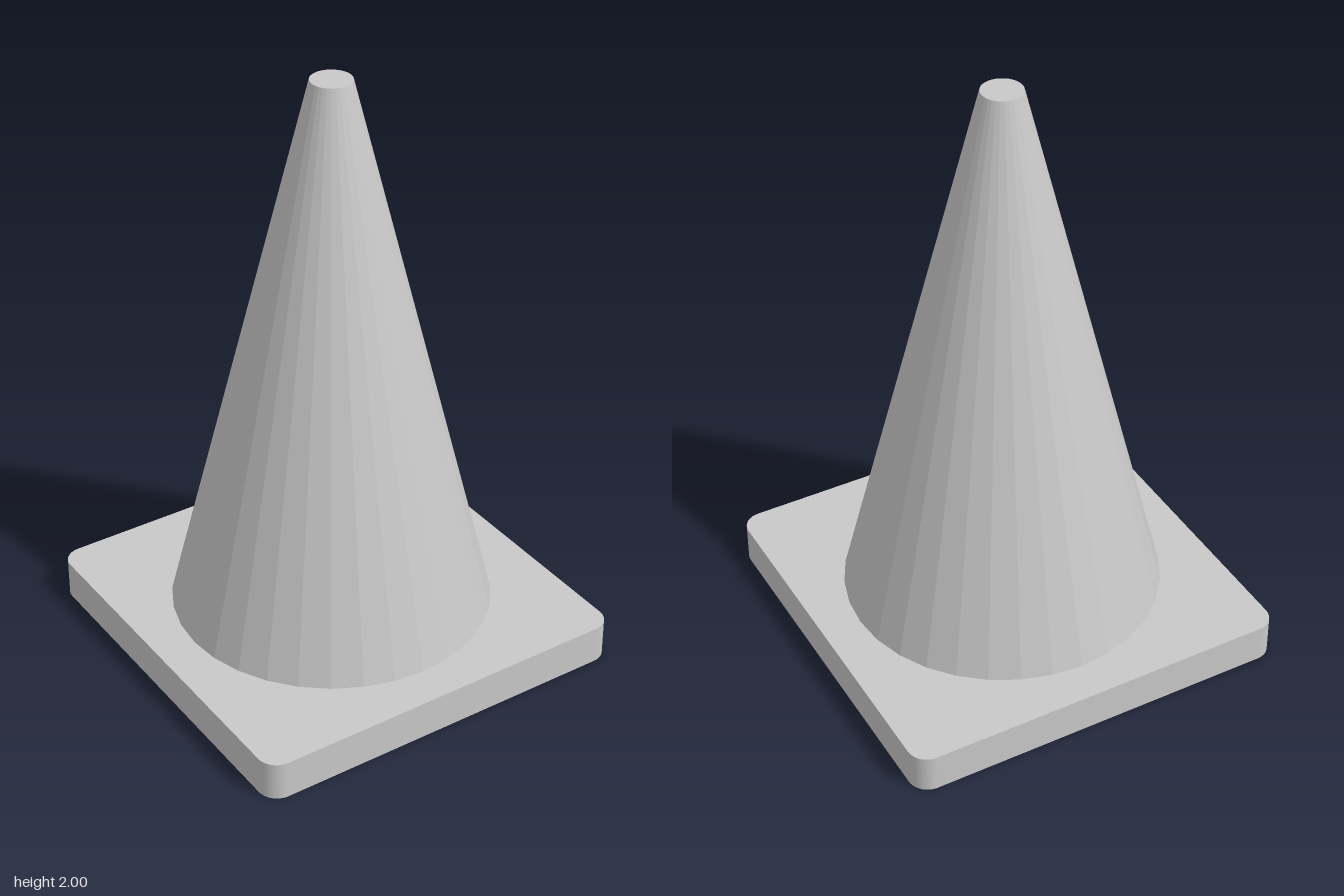
import * as THREE from 'three';

const BASE = 1.333, BASE_H = 0.133, CORNER = 0.067;
const FOOT_R = 0.533, TIP_R = 0.067, HEIGHT = 2;

// Square outline with rounded corners
function roundedSquare(size, r) {
  const inner = size / 2 - r;
  const shape = new THREE.Shape();
  [[1, 1], [-1, 1], [-1, -1], [1, -1]].forEach(([sx, sy], i) => {
    shape.absarc(sx * inner, sy * inner, r, i * Math.PI / 2, (i + 1) * Math.PI / 2, false);
  });
  shape.closePath();
  return shape;
}

export function createModel() {
  const group = new THREE.Group();
  group.name = 'trafficCone';
  const grey = new THREE.MeshStandardMaterial({ color: 0xc8c8c8, flatShading: true });
  grey.name = 'light grey';

  // Flat square foot
  const baseGeometry = new THREE.ExtrudeGeometry(roundedSquare(BASE, CORNER), {
    depth: BASE_H, bevelEnabled: false, curveSegments: 8,
  });
  baseGeometry.rotateX(-Math.PI / 2);
  const base = new THREE.Mesh(baseGeometry, grey);
  base.name = 'base';
  group.add(base);

  // Faceted tapering body with a flat tip
  const bodyHeight = HEIGHT - BASE_H;
  const body = new THREE.Mesh(new THREE.CylinderGeometry(TIP_R, FOOT_R, bodyHeight, 32), grey);
  body.name = 'coneBody';
  body.position.y = BASE_H + bodyHeight / 2;
  group.add(body);

  return group;
}
